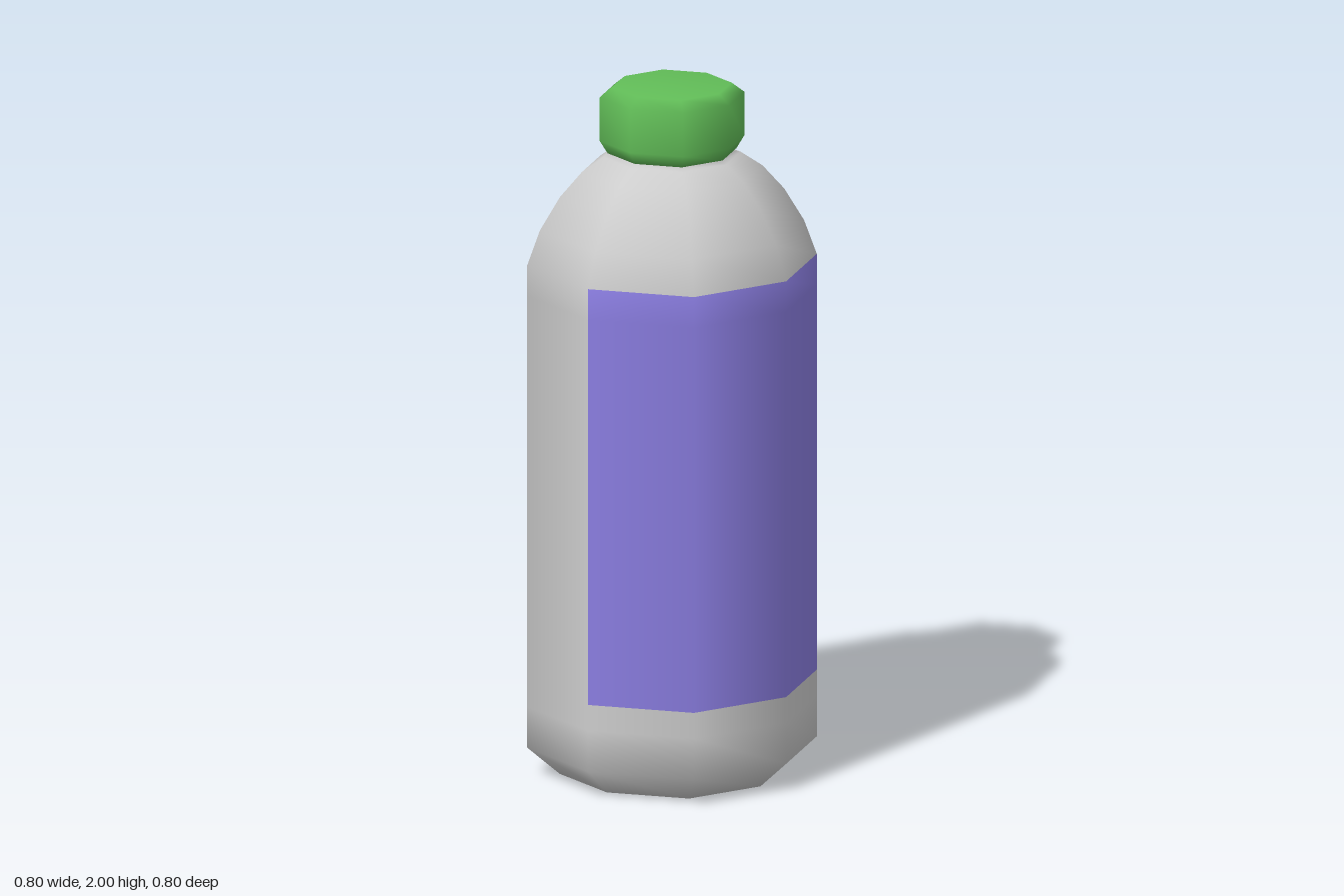
import * as THREE from 'three';

const SIDES = 8;

// Smooth eight-sided turned solid; diagonal corners sit slightly further out
function turned(profile) {
  const geo = new THREE.LatheGeometry(profile.map(([r, y]) => new THREE.Vector2(r, y)), SIDES);
  const pos = geo.attributes.position;
  for (let i = 0; i < pos.count; i++) {
    if (Math.floor(i / profile.length) % 2) {
      pos.setX(i, pos.getX(i) * 1.033);
      pos.setZ(i, pos.getZ(i) * 1.033);
    }
  }
  return geo;
}

export function createModel() {
  const plastic = new THREE.MeshStandardMaterial({ name: 'grey plastic', color: 0xcccccc });
  const labelPurple = new THREE.MeshStandardMaterial({ name: 'purple label', color: 0x8a7de0 });
  const capGreen = new THREE.MeshStandardMaterial({ name: 'green cap', color: 0x62be58 });
  const group = new THREE.Group();
  group.name = 'bottle';

  // Body: chamfered base, straight wall, domed shoulder, short neck
  const bodyProfile = [
    [0, 0], [0.31, 0], [0.4, 0.08], [0.4, 0.2], [0.4, 0.275], [0.4, 1.4], [0.4, 1.49],
    [0.365, 1.59], [0.31, 1.685], [0.25, 1.755], [0.19, 1.797], [0.165, 1.8], [0.165, 1.83],
  ];
  const bodyGeo = turned(bodyProfile);

  // Label: the wall faces on the +x half take the second material
  const bands = bodyProfile.length - 1;
  const labelStart = 4, labelEnd = 6;
  for (let s = 0; s < SIDES; s++) {
    const at = s * bands * 6;
    bodyGeo.addGroup(at, labelStart * 6, 0);
    bodyGeo.addGroup(at + labelStart * 6, (labelEnd - labelStart) * 6, s < SIDES / 2 ? 1 : 0);
    bodyGeo.addGroup(at + labelEnd * 6, (bands - labelEnd) * 6, 0);
  }
  const body = new THREE.Mesh(bodyGeo, [plastic, labelPurple]);
  body.name = 'bodyWithLabel';
  group.add(body);

  // Screw cap with softened edges
  const cap = new THREE.Mesh(turned([
    [0, 1.808], [0.178, 1.808], [0.2, 1.845], [0.2, 1.972], [0.165, 2], [0, 2],
  ]), capGreen);
  cap.name = 'cap';
  group.add(cap);

  return group;
}
